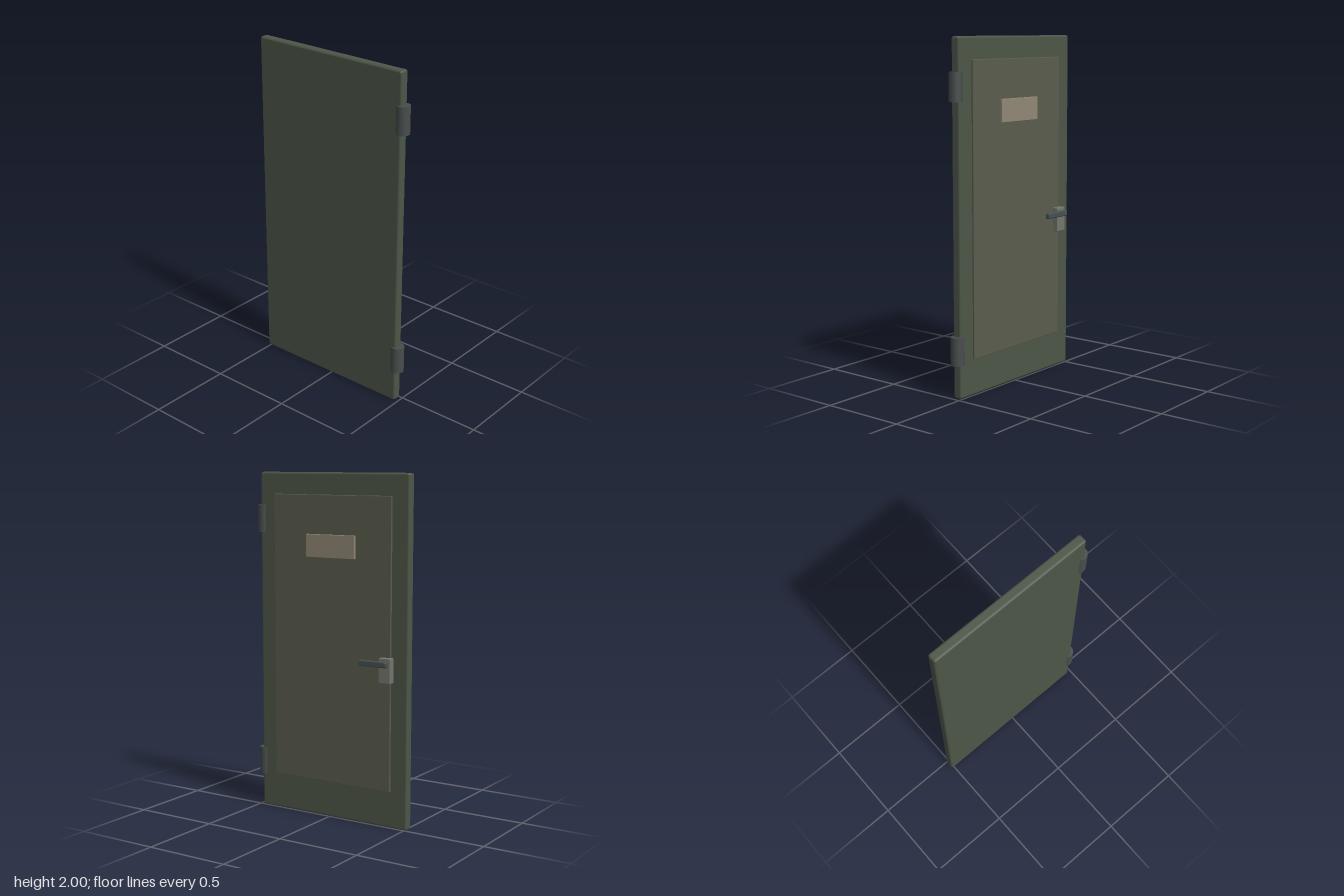
import * as THREE from 'three';
import { RoundedBoxGeometry } from 'three/addons/geometries/RoundedBoxGeometry.js';

const material = (color) => new THREE.MeshStandardMaterial({ color });

// Box with chamfered edges, given by its limits on each axis
function bevelBox(name, [x0, x1], [y0, y1], [z0, z1], bevel, color) {
  const geometry = new RoundedBoxGeometry(x1 - x0, y1 - y0, z1 - z0, 1, bevel);
  const mesh = new THREE.Mesh(geometry, material(color));
  mesh.name = name;
  mesh.position.set((x0 + x1) / 2, (y0 + y1) / 2, (z0 + z1) / 2);
  return mesh;
}

export function createModel() {
  const door = new THREE.Group();
  door.name = 'door';

  // Main leaf and the raised panel on its back
  door.add(bevelBox('doorSlab', [-0.517, 0.482], [0, 2], [0, 0.056], 0.013, 0x4d5648));
  door.add(bevelBox('raisedPanel', [-0.411, 0.378], [0.21, 1.875], [-0.011, 0.006], 0.004, 0x595c4c));

  // Blank sign plate
  door.add(bevelBox('signPlate', [-0.18, 0.146], [1.52, 1.652], [-0.025, -0.01], 0.003, 0x918775));

  // Lock case and lever
  const handle = new THREE.Group();
  handle.name = 'handle';
  handle.add(bevelBox('lockCase', [-0.428, -0.353], [0.84, 0.982], [-0.044, 0], 0.004, 0x74766c));
  handle.add(bevelBox('lever', [-0.417, -0.236], [0.932, 0.965], [-0.072, -0.042], 0.007, 0x465050));
  door.add(handle);

  // Hinge barrels
  const barrel = new THREE.CylinderGeometry(0.039, 0.039, 0.16, 24);
  const hingeMaterial = material(0x484d4c);
  for (const [name, y] of [['lowerHinge', 0.275], ['upperHinge', 1.73]]) {
    const hinge = new THREE.Mesh(barrel, hingeMaterial);
    hinge.name = name;
    hinge.position.set(0.476, y, 0.028);
    door.add(hinge);
  }
  return door;
}
